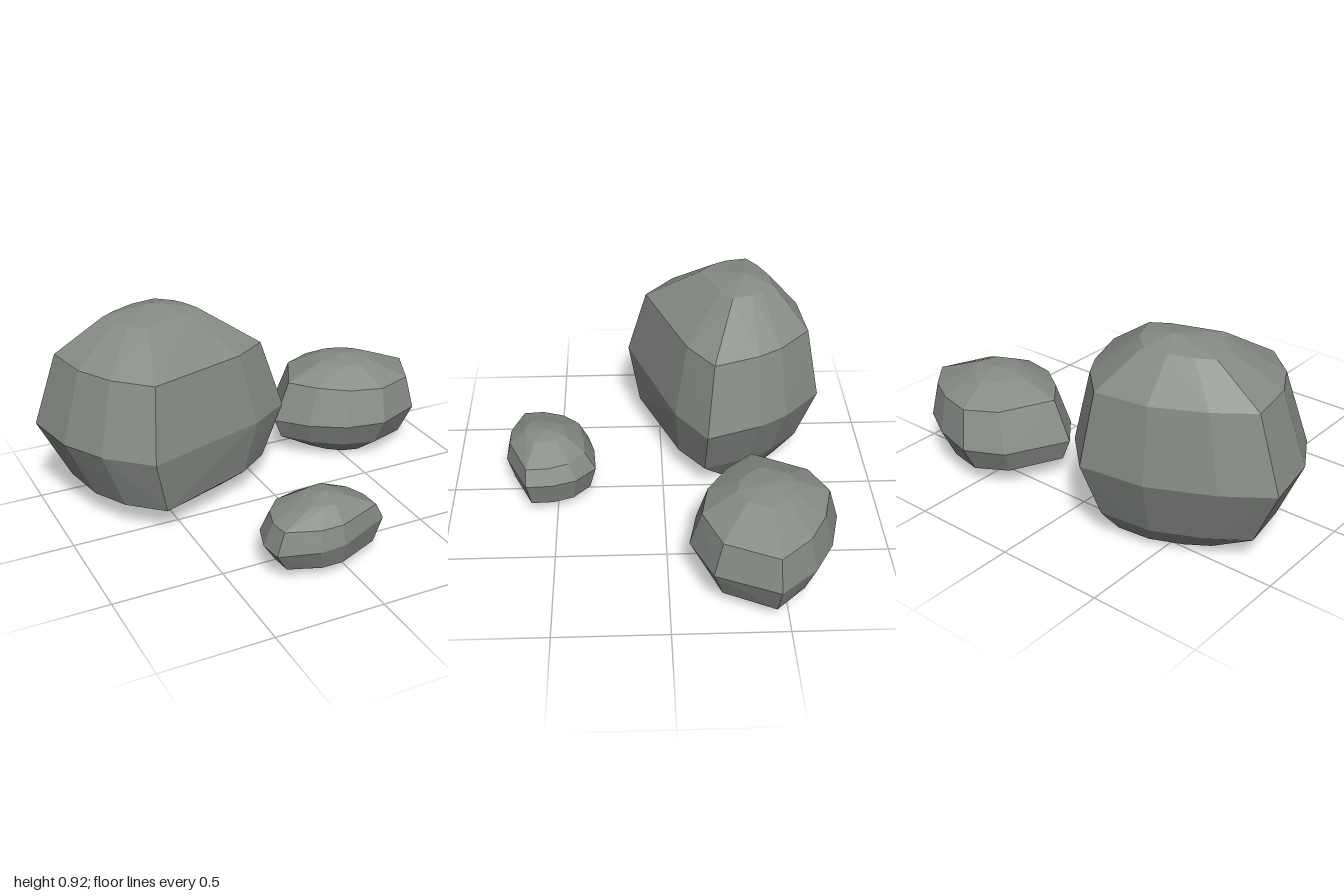
import * as THREE from 'three';
import { ConvexGeometry } from 'three/addons/geometries/ConvexGeometry.js';

// A boulder is one plan outline refitted to a rectangle at each height.
// outline: [x, z] around the widest girth; levels: [y, xMin, xMax, zMin, zMax, rise in y from left to right]
function boulder(name, material, outline, levels, peak) {
  const xs = outline.map((p) => p[0]);
  const zs = outline.map((p) => p[1]);
  const [ax, bx, az, bz] = [Math.min(...xs), Math.max(...xs), Math.min(...zs), Math.max(...zs)];
  const points = [new THREE.Vector3(...peak)];
  for (const [y, x0, x1, z0, z1, rise = 0] of levels) {
    for (const [x, z] of outline) {
      const u = (x - ax) / (bx - ax);
      const v = (z - az) / (bz - az);
      points.push(new THREE.Vector3(x0 + u * (x1 - x0), y + rise * (u - 0.5), z0 + v * (z1 - z0)));
    }
  }
  const mesh = new THREE.Mesh(new ConvexGeometry(points), material);
  mesh.name = name;
  return mesh;
}

export function createModel() {
  const group = new THREE.Group();
  group.name = 'boulders';
  const stone = new THREE.MeshStandardMaterial({ color: 0x868b85 });
  stone.name = 'stone grey';

  // Tall boulder at the back right
  group.add(boulder('largeBoulder', stone,
    [[-1, -0.47], [-0.8, -0.6], [-0.52, -0.72], [-0.21, -0.75], [-0.03, -0.58], [0.05, -0.45],
      [0.14, -0.2], [-0.06, -0.06], [-0.65, 0.155], [-0.84, -0.01], [-0.95, -0.2]],
    [
      [0, -0.65, -0.08, -0.56, -0.11],
      [0.12, -0.86, 0.03, -0.66, 0.1],
      [0.385, -1, 0.14, -0.75, 0.155, -0.03],
      [0.715, -0.89, 0.04, -0.69, 0.065, -0.03],
      [0.885, -0.66, -0.24, -0.53, -0.2, 0.01],
    ], [-0.43, 0.92, -0.4]));

  // Medium boulder at the back left
  group.add(boulder('mediumBoulder', stone,
    [[0.19, -0.38], [0.33, -0.66], [0.5, -0.75], [0.7, -0.7], [0.86, -0.61], [1, -0.45],
      [0.88, -0.18], [0.66, -0.09], [0.47, -0.13], [0.31, -0.24]],
    [
      [0, 0.4, 0.74, -0.56, -0.24],
      [0.075, 0.23, 0.93, -0.69, -0.15, -0.03],
      [0.2, 0.19, 1, -0.75, -0.09, 0.02],
      [0.37, 0.27, 0.96, -0.7, -0.14, -0.02],
      [0.45, 0.46, 0.74, -0.55, -0.29],
    ], [0.6, 0.47, -0.42]));

  // Small boulder at the front
  group.add(boulder('smallBoulder', stone,
    [[-0.34, 0.57], [-0.3, 0.45], [-0.22, 0.36], [-0.1, 0.33], [0.06, 0.32], [0.16, 0.41],
      [0.2, 0.52], [0.205, 0.64], [-0.04, 0.745], [-0.16, 0.745], [-0.33, 0.68]],
    [
      [0, -0.17, 0.05, 0.44, 0.63],
      [0.045, -0.28, 0.17, 0.35, 0.71],
      [0.15, -0.34, 0.205, 0.32, 0.745, 0.03],
      [0.24, -0.3, 0.17, 0.37, 0.725],
      [0.3, -0.14, 0.04, 0.46, 0.65],
    ], [-0.04, 0.32, 0.55]));

  return group;
}
